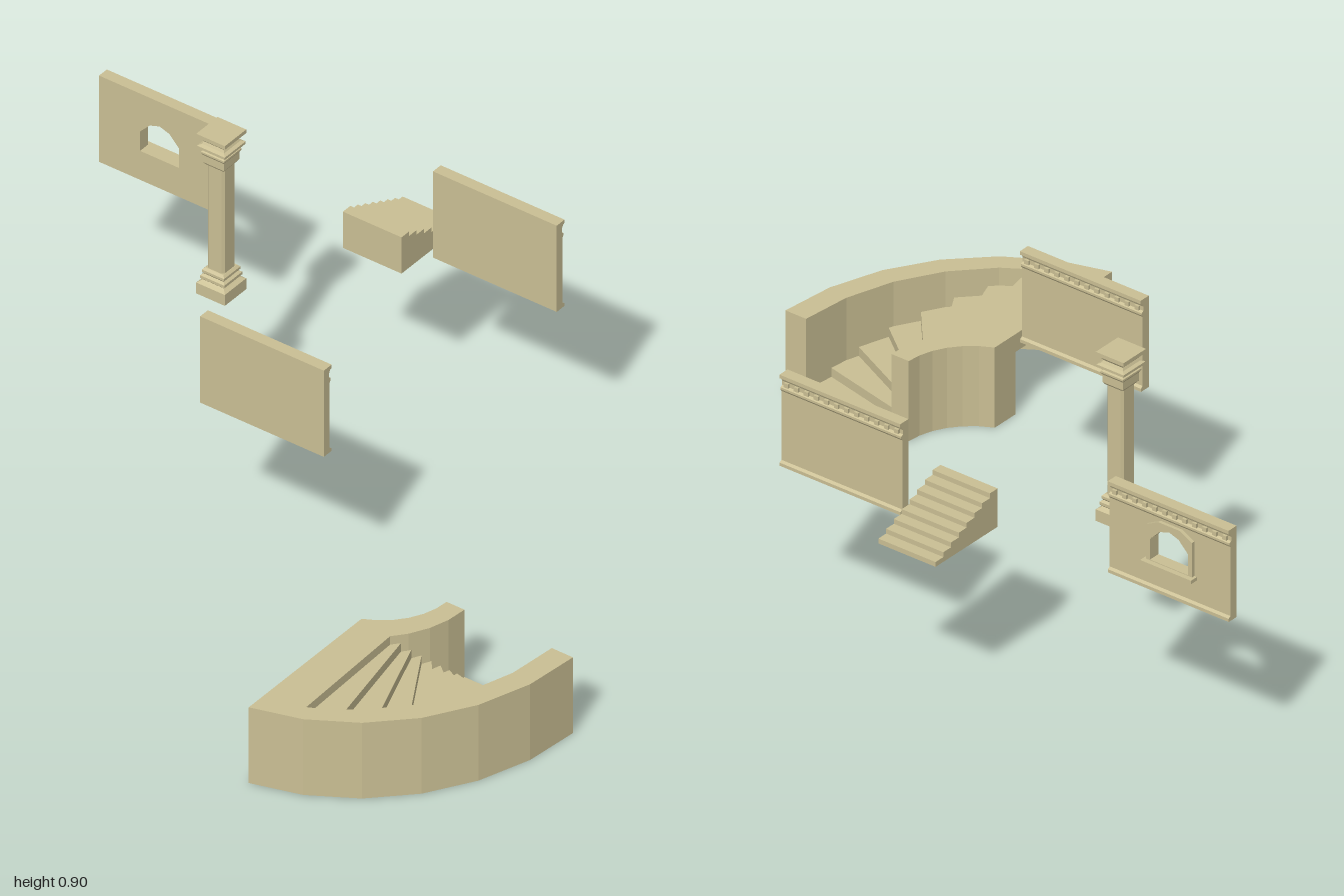
import * as THREE from 'three';

const stone = new THREE.MeshStandardMaterial({ color: 0xcabf94, flatShading: true });
stone.name = 'sandstone';

const add = (parent, geo, name, x = 0, y = 0, z = 0) => {
  const m = new THREE.Mesh(geo, stone);
  m.name = name;
  m.position.set(x, y, z);
  parent.add(m);
  return m;
};
const group = (parent, name, x = 0, y = 0, z = 0) => {
  const g = new THREE.Group();
  g.name = name;
  g.position.set(x, y, z);
  parent.add(g);
  return g;
};
const toShape = pts => new THREE.Shape(pts.map(p => new THREE.Vector2(p[0], p[1])));
const extrude = (shape, depth) => new THREE.ExtrudeGeometry(shape, { depth, bevelEnabled: false });
// Profile of (distance behind the front, height), swept along x and centred
const sweepX = (pts, length) =>
  extrude(toShape(pts), length).translate(0, 0, -length / 2).rotateY(Math.PI / 2);
// Plan of (x, z), extruded from bottom to top
const slab = (pts, bottom, top) =>
  extrude(toShape(pts), top - bottom).rotateX(Math.PI / 2).translate(0, top, 0);

const W = 0.38, BODY = 0.024;

// Wall panel: plain front, with skirting, cornice and dentils on the back
function wall(parent, name, x, y, z, height, opening) {
  const g = group(parent, name, x, y, z);
  const face = toShape([[-W / 2, 0], [W / 2, 0], [W / 2, height - 0.05], [-W / 2, height - 0.05]]);
  if (opening) face.holes.push(new THREE.Path(opening.map(p => new THREE.Vector2(...p))));
  add(g, extrude(face, BODY), 'wallBody', 0, 0, -BODY);
  add(g, sweepX([[BODY, 0], [0.031, 0], [0.031, 0.009], [BODY, 0.014]], W), 'skirting');
  const h = height;
  add(g, sweepX([[0, h - 0.05], [BODY, h - 0.05], [0.028, h - 0.044], [0.028, h - 0.038], [0.021, h - 0.034],
    [0.021, h - 0.022], [0.026, h - 0.012], [0.032, h - 0.01], [0.032, h], [0, h]], W), 'cornice');
  for (let i = 0; i < 12; i++)
    add(g, new THREE.BoxGeometry(0.013, 0.012, 0.008), 'dentil', (i - 5.5) * 0.0315, h - 0.028, -0.024);
  return g;
}

function windowWall(parent) {
  const hole = [[-0.06, 0.088], [-0.06, 0.147], [-0.03, 0.178], [0, 0.188], [0.03, 0.178], [0.06, 0.147], [0.06, 0.088]]
    .map(([x, y]) => [x - 0.004, y]);
  const g = wall(parent, 'windowWall', -0.81, 0.443, -0.543, 0.262, hole);
  // Raised surround and sill on the back
  const surround = toShape([[-0.076, 0.085], [0.068, 0.085], [0.068, 0.185], [0.03, 0.205], [-0.038, 0.205], [-0.076, 0.185]]);
  surround.holes.push(new THREE.Path(hole.map(p => new THREE.Vector2(...p))));
  add(g, extrude(surround, 0.009), 'windowSurround', 0, 0, -BODY - 0.009);
  add(g, new THREE.BoxGeometry(0.16, 0.01, 0.024), 'windowSill', -0.004, 0.081, -0.035);
}

// Column: square stepped base and capital around a chamfered shaft
function column(parent) {
  const g = group(parent, 'column', -0.458, 0, -0.32);
  const square = pts => new THREE.LatheGeometry(
    pts.map(([r, y]) => new THREE.Vector2(r * Math.SQRT2, y)), 4).rotateY(Math.PI / 4);
  add(g, square([[0, 0.415], [0.044, 0.415], [0.044, 0.448], [0.036, 0.453], [0.032, 0.456], [0.037, 0.461],
    [0.037, 0.469], [0.03, 0.474], [0.034, 0.479], [0.034, 0.486], [0.028, 0.492], [0, 0.492]]), 'columnBase');
  const a = 0.026, c = 0.02;
  add(g, slab([[a, -c], [a, c], [c, a], [-c, a], [-a, c], [-a, -c], [-c, -a], [c, -a]], 0.49, 0.81), 'columnShaft');
  add(g, square([[0, 0.806], [0.028, 0.806], [0.032, 0.812], [0.032, 0.834], [0.036, 0.84], [0.036, 0.845],
    [0.03, 0.848], [0.043, 0.857], [0.043, 0.864], [0.034, 0.868], [0.03, 0.875], [0.036, 0.884],
    [0.044, 0.889], [0.044, 0.9], [0, 0.9]]), 'columnCapital');
}

// Straight flight, descending to the back
function straightStairs(parent) {
  const n = 8, run = 0.245 / n, rise = 0.11 / n, pts = [[0, 0], [n * run, 0]];
  for (let i = n; i > 0; i--) {
    const y = (n - i + 1) * rise;
    pts.push([i * run, y], [(i - 1) * run, y]);
  }
  add(parent, sweepX(pts, 0.18), 'straightStairs', -0.2, 0.46, -0.595);
}

// Curved flight between two elliptical walls
function curvedStairs(parent) {
  const cx = 0.4, cz = 0.185, x0 = 0.487, H = 0.23;
  const g = group(parent, 'curvedStairs');
  const at = (rx, rz, t) => [cx + rx * Math.cos(t), cz + rz * Math.sin(t)];
  // Points of an ellipse from the z end to the given x
  const arc = (rx, rz, xEnd, n) => {
    const end = Math.acos((xEnd - cx) / rx);
    return Array.from({ length: n + 1 }, (_, i) => at(rx, rz, end * i / n));
  };
  const curvedWall = (name, outer, inner, n) =>
    add(g, slab([...arc(...outer, x0, n), ...arc(...inner, x0, n).reverse()], 0, H), name);
  curvedWall('outerWall', [0.6, 0.652], [0.535, 0.604], 6);
  curvedWall('innerWall', [0.267, 0.28], [0.212, 0.2], 6);

  // Winders rise from the back end to the landing
  const n = 8, rise = H / (n + 1);
  const outer = arc(0.537, 0.606, 0.6, n), inner = arc(0.265, 0.278, 0.587, n);
  for (let i = 0; i < n; i++)
    add(g, slab([inner[i], outer[i], outer[i + 1], inner[i + 1]],
      Math.max(0, (i - 1) * rise), (i + 1) * rise), 'winderStep');
  add(g, slab([inner[n], outer[n], [x0, 0.782], [x0, 0.44]], (n - 1) * rise, H), 'landing');
}

export function createModel() {
  const model = new THREE.Group();
  model.name = 'buildingPieces';
  windowWall(model);
  wall(model, 'frontWall', 0.015, 0.47, 0.145, 0.262);
  wall(model, 'rearWall', 0.11, 0.47, -0.684, 0.262);
  column(model);
  straightStairs(model);
  curvedStairs(model);
  return model;
}
